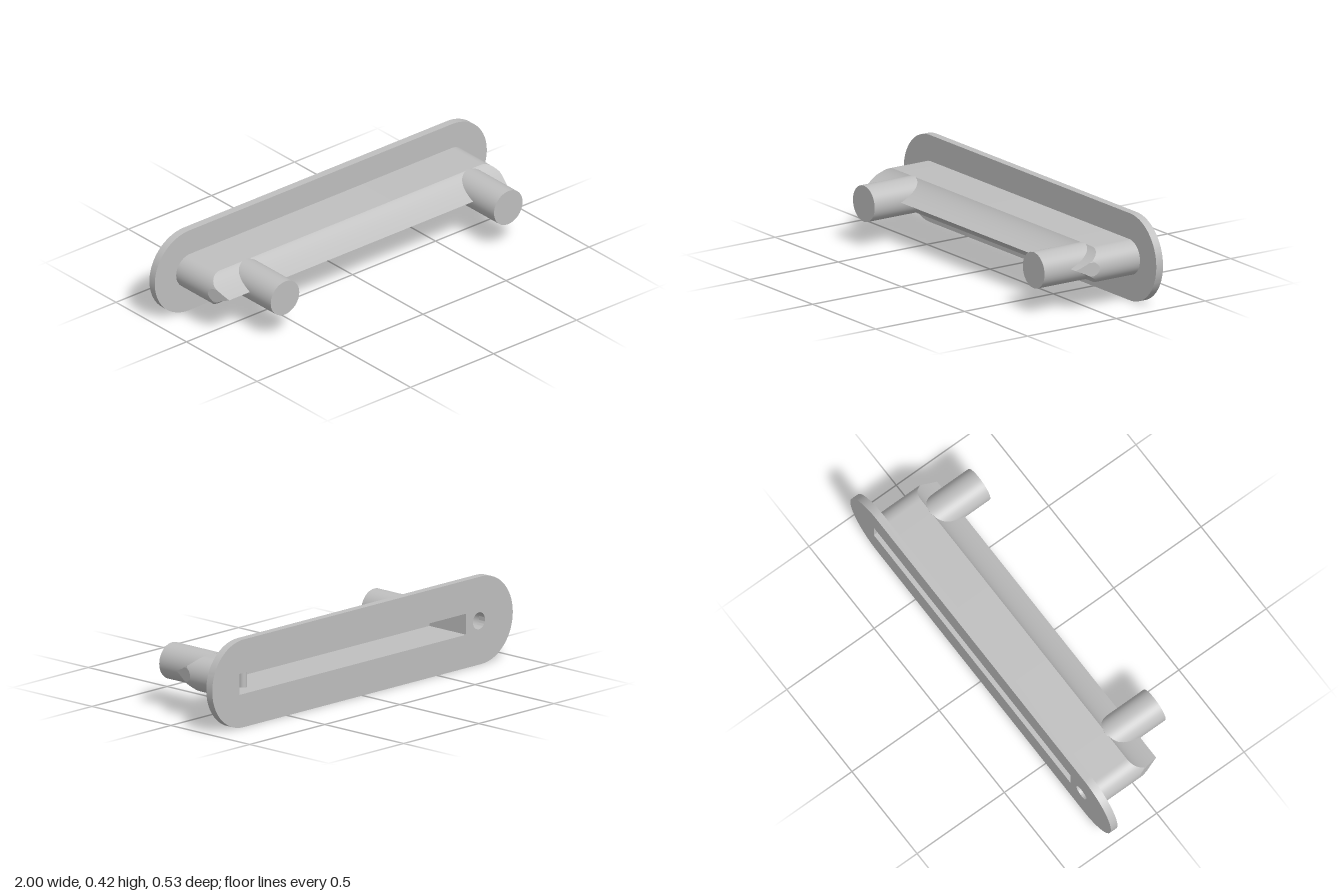
import * as THREE from 'three';
import { toCreasedNormals } from 'three/addons/utils/BufferGeometryUtils.js';

const MID_Y = 0.209; // height of the long axis
const BACK = -0.263, PLATE_FRONT = -0.225;
const SLOT = { x0: -0.69, x1: 0.82, h: 0.1, floor: -0.03 };
const HOLE = { x: -0.775, r: 0.04, floor: -0.08 };

// Wedge-nosed body: horizontal slices stacked from bottom to top
function bodyGeometry() {
  const r = 0.084, straight = 0.787, steps = 24;
  const rows = [];
  for (let j = 0; j <= steps; j++) {
    const a = -Math.PI / 2 + (Math.PI * j) / steps;
    const y = r * Math.sin(a), t = Math.abs(y) / r;
    const w = straight + r * Math.cos(a);
    const nose = 0.115 - 0.13 * t - 0.07 * t * (1 - t); // slightly hollow wedge
    const cut = Math.min(nose, (0.871 - w) * 3.83); // slanted end cuts
    const xe = Math.min(w, 0.871 - nose / 3.83);
    rows.push([[-w, PLATE_FRONT], [-w, cut], [-xe, nose], [xe, nose], [w, cut], [w, PLATE_FRONT]]
      .map(([x, z]) => [x, y, z]));
  }
  const pos = [];
  const quad = (a, b, c, d) => pos.push(...a, ...b, ...c, ...a, ...c, ...d);
  for (let j = 0; j < steps; j++)
    for (let i = 0; i < 5; i++)
      quad(rows[j][i], rows[j][i + 1], rows[j + 1][i + 1], rows[j + 1][i]);
  // flat top and bottom
  const top = rows[steps], low = rows[0];
  quad(top[2], top[3], top[5], top[0]);
  quad(low[0], low[5], low[3], low[2]);
  const g = new THREE.BufferGeometry();
  g.setAttribute('position', new THREE.Float32BufferAttribute(pos, 3));
  return toCreasedNormals(g, 0.2);
}

// Rounded plate with the slot and the round hole
function plateGeometry() {
  const R = 0.208, s = 1 - R;
  const shape = new THREE.Shape();
  shape.absarc(s, 0, R, -Math.PI / 2, Math.PI / 2, false);
  shape.absarc(-s, 0, R, Math.PI / 2, Math.PI * 1.5, false);
  shape.closePath();
  const { x0, x1, h } = SLOT;
  shape.holes.push(
    new THREE.Path([[x0, -h / 2], [x0, h / 2], [x1, h / 2], [x1, -h / 2]].map(p => new THREE.Vector2(...p))),
    new THREE.Path().absarc(HOLE.x, 0, HOLE.r, 0, Math.PI * 2, true));
  const g = new THREE.ExtrudeGeometry(shape, { depth: PLATE_FRONT - BACK, bevelEnabled: false, curveSegments: 32 });
  return toCreasedNormals(g.translate(0, 0, BACK), 0.5);
}

export function createModel() {
  const group = new THREE.Group();
  const grey = new THREE.MeshStandardMaterial({ color: 0xbfbfbf, side: THREE.DoubleSide });
  grey.name = 'grey';
  const add = (name, geometry, x = 0, z = 0) => {
    const mesh = new THREE.Mesh(geometry, grey);
    mesh.name = name;
    mesh.position.set(x, MID_Y, z);
    group.add(mesh);
    return mesh;
  };

  add('backPlate', plateGeometry());
  add('body', bodyGeometry());

  // Pegs
  const pegStart = -0.02, pegEnd = 0.263;
  for (const [name, x] of [['rightPeg', -0.63], ['leftPeg', 0.715]]) {
    const peg = new THREE.CylinderGeometry(0.086, 0.086, pegEnd - pegStart, 48).rotateX(Math.PI / 2);
    add(name, peg, x, (pegStart + pegEnd) / 2);
  }

  // Slot recess: a box without its rear face
  const depth = SLOT.floor - PLATE_FRONT;
  const recess = new THREE.BoxGeometry(SLOT.x1 - SLOT.x0, SLOT.h, depth);
  recess.setIndex(Array.from(recess.index.array).slice(0, 30));
  recess.clearGroups();
  add('slotRecess', recess, (SLOT.x0 + SLOT.x1) / 2, PLATE_FRONT + depth / 2);

  // Small post inside the slot
  add('slotPost', new THREE.CylinderGeometry(0.02, 0.02, SLOT.h, 20), 0.7, -0.17);

  // Round hole lining and floor
  const holeDepth = HOLE.floor - PLATE_FRONT;
  const lining = new THREE.CylinderGeometry(HOLE.r, HOLE.r, holeDepth, 32, 1, true).rotateX(Math.PI / 2);
  add('holeLining', lining, HOLE.x, PLATE_FRONT + holeDepth / 2);
  add('holeFloor', new THREE.CircleGeometry(HOLE.r, 32), HOLE.x, HOLE.floor);
  return group;
}
